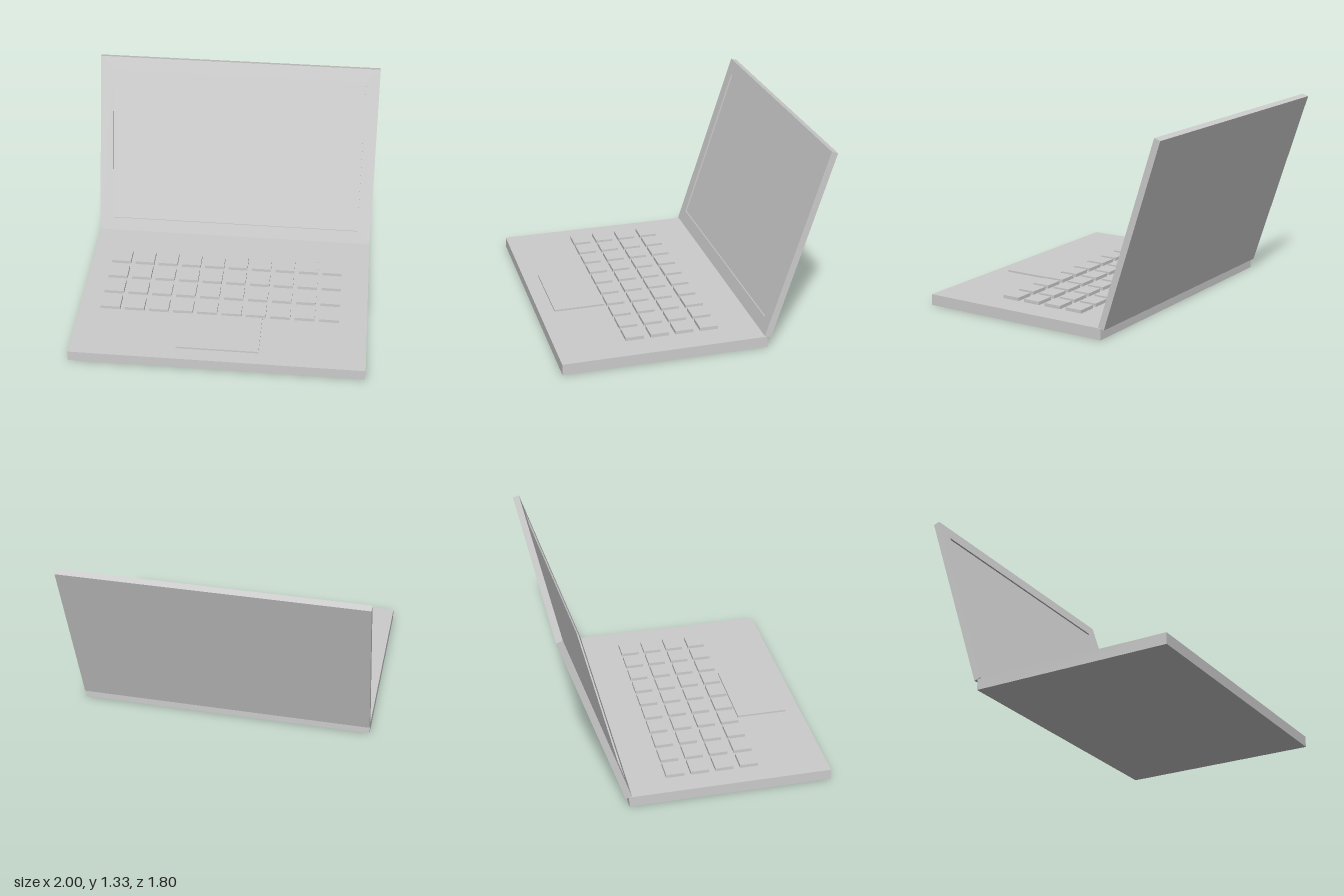
import * as THREE from 'three';

const grey = new THREE.MeshStandardMaterial({ color: 0xcccccc });
grey.name = 'light grey';

// Box given by its min and max corners
function block(name, [x0, y0, z0], [x1, y1, z1]) {
  const mesh = new THREE.Mesh(new THREE.BoxGeometry(x1 - x0, y1 - y0, z1 - z0), grey);
  mesh.position.set((x0 + x1) / 2, (y0 + y1) / 2, (z0 + z1) / 2);
  mesh.name = name;
  return mesh;
}

function rectangle(path, x, y0, y1) {
  path.moveTo(-x, y0);
  path.lineTo(x, y0);
  path.lineTo(x, y1);
  path.lineTo(-x, y1);
  path.closePath();
  return path;
}

export function createModel() {
  const model = new THREE.Group();
  model.name = 'laptop';

  // Base slab and raised touchpad
  const top = 0.076;
  model.add(block('base', [-1, 0, -0.472], [1, top, 0.902]));
  model.add(block('touchpad', [-0.28, top - 0.01, 0.45], [0.28, 0.089, 0.798]));

  // Keyboard: four rows of ten keys
  const keyboard = new THREE.Group();
  keyboard.name = 'keyboard';
  const pitch = 0.169, keyWidth = 0.137, keyDepth = 0.124;
  for (let row = 0; row < 4; row++) {
    for (let col = 0; col < 10; col++) {
      const x = -0.85 + col * pitch, z = -0.193 + row * pitch;
      keyboard.add(block('key', [x, top - 0.01, z], [x + keyWidth, 0.099, z + keyDepth]));
    }
  }
  model.add(keyboard);

  // Lid leaning back: a back panel with a bezel frame around the recessed screen
  const lid = new THREE.Group();
  lid.name = 'lid';
  const height = 1.315, thickness = 0.045, recess = 0.011, border = 0.095;
  lid.add(block('screenPanel', [-1, 0, -thickness], [1, height, -recess]));
  const outline = rectangle(new THREE.Shape(), 1, 0, height);
  outline.holes.push(rectangle(new THREE.Path(), 1 - border, border, height - border));
  const bezel = new THREE.Mesh(
    new THREE.ExtrudeGeometry(outline, { depth: recess, bevelEnabled: false }), grey);
  bezel.position.z = -recess;
  bezel.name = 'bezel';
  lid.add(bezel);
  lid.position.set(0, 0.082, -0.453);
  lid.rotation.x = -THREE.MathUtils.degToRad(18);
  model.add(lid);

  return model;
}
